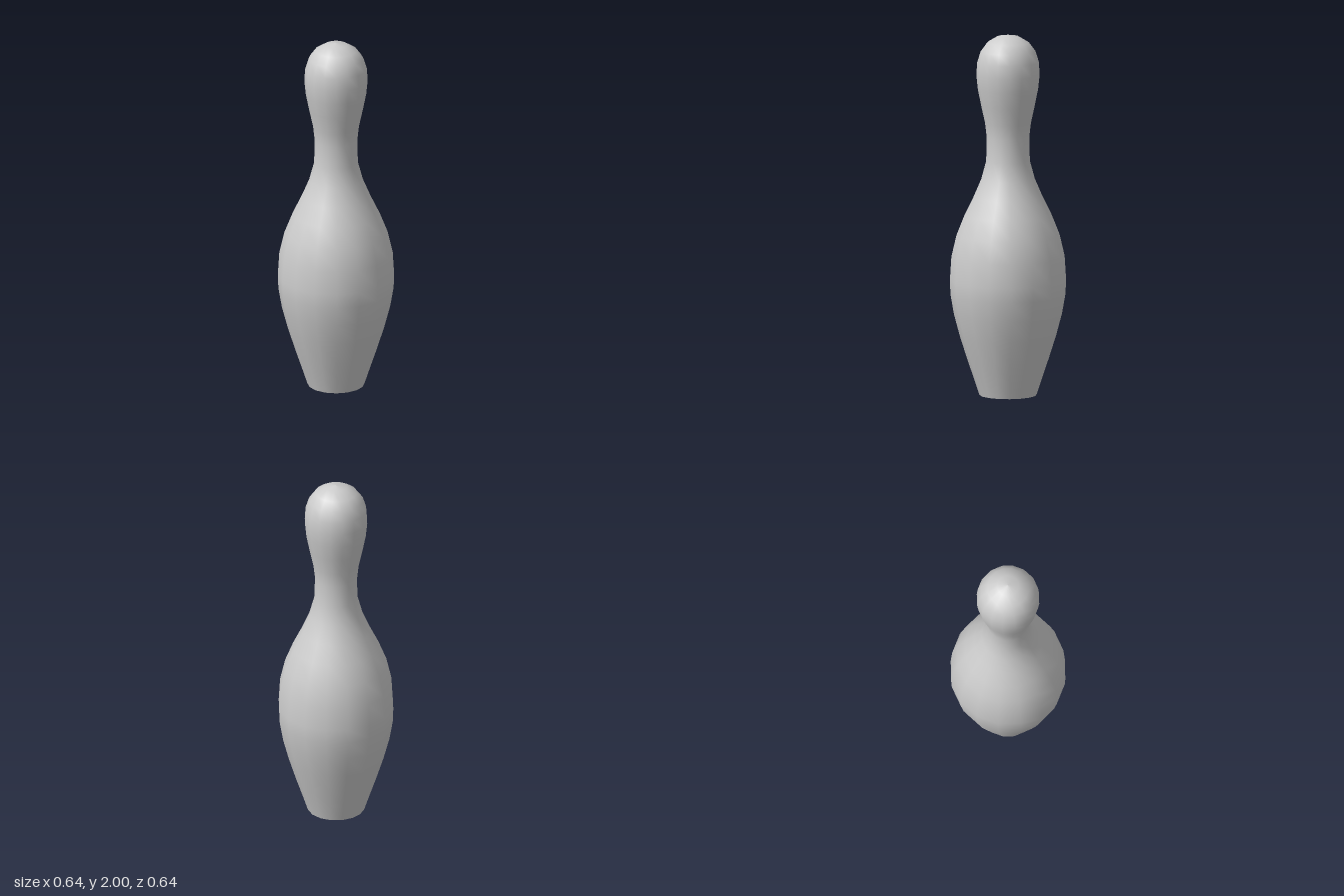
import * as THREE from 'three';

const SIDES = 16;

// Radius and height pairs, from the foot to the crown
const PROFILE = [
  [0.157, 0], [0.19, 0.1], [0.224, 0.2], [0.265, 0.33], [0.297, 0.45],
  [0.316, 0.56], [0.319, 0.64], [0.311, 0.77], [0.283, 0.89], [0.239, 1.0],
  [0.19, 1.1], [0.147, 1.2], [0.12, 1.3], [0.117, 1.43], [0.126, 1.51],
  [0.148, 1.61], [0.166, 1.7], [0.174, 1.78], [0.169, 1.85], [0.15, 1.91],
  [0.115, 1.957], [0.06, 1.99], [0, 2],
];

export function createModel() {
  const group = new THREE.Group();
  group.name = 'bowlingPin';
  const material = new THREE.MeshStandardMaterial({ color: 0xcccccc });

  // Belly, neck and head in one turned surface
  const points = PROFILE.map(([r, y]) => new THREE.Vector2(r, y));
  const body = new THREE.Mesh(new THREE.LatheGeometry(points, SIDES), material);
  body.name = 'body';
  group.add(body);

  // Flat underside, facing down
  const base = new THREE.Mesh(
    new THREE.CircleGeometry(PROFILE[0][0], SIDES).rotateX(Math.PI / 2),
    material,
  );
  base.name = 'base';
  group.add(base);

  return group;
}
